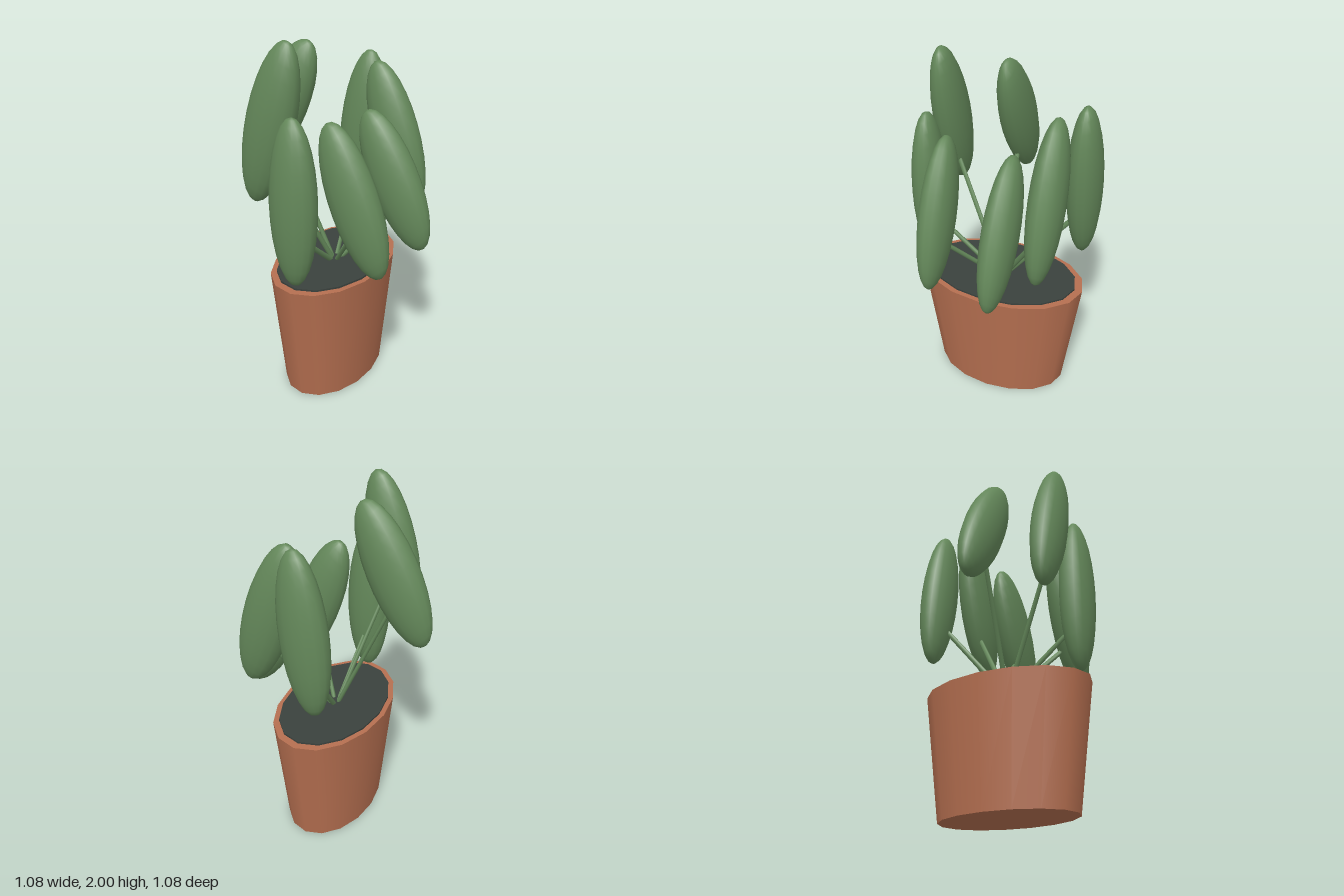
import * as THREE from 'three';

const SQUASH = 0.71; // leaves and stems are flattened along x
const CX = 0.005;

export function createModel() {
  const model = new THREE.Group();
  model.name = 'pottedPlant';
  const clay = new THREE.MeshStandardMaterial({ color: 0xb56f50 });
  const earth = new THREE.MeshStandardMaterial({ color: 0x3a413d });
  const green = new THREE.MeshStandardMaterial({ color: 0x64885a });

  const add = (parent, name, geometry, material) => {
    const mesh = new THREE.Mesh(geometry, material);
    mesh.name = name;
    parent.add(mesh);
    return mesh;
  };

  // Tapered oval pot
  const pot = add(model, 'pot', new THREE.CylinderGeometry(0.495, 0.4, 0.705, 16), clay);
  pot.scale.x = 0.626;
  pot.position.set(CX, 0.3525, 0);

  // Soil disc standing just proud of the rim
  const soil = add(model, 'soil', new THREE.CylinderGeometry(0.45, 0.45, 0.04, 16), earth);
  soil.scale.x = 0.626;
  soil.position.set(CX, 0.695, 0);

  // Leaf centres and lean about z
  const leaves = [
    [-0.05, 1.382, -0.448, -9.8],
    [0.222, 1.383, -0.337, 26.8],
    [0.315, 1.192, -0.122, 35.8],
    [-0.315, 1.57, 0.033, -37.7],
    [0.26, 1.192, 0.267, 30],
    [-0.167, 1.57, 0.372, -22.2],
    [0.005, 1.192, 0.445, 0],
  ];
  const foliage = new THREE.Group();
  foliage.name = 'foliage';
  foliage.position.x = CX;
  foliage.scale.x = SQUASH;
  model.add(foliage);

  const leafShape = new THREE.SphereGeometry(1, 16, 14);
  leafShape.scale(0.135 / SQUASH, 0.46, 0.094);
  const base = new THREE.Vector3(0, 0.67, 0);
  const up = new THREE.Vector3(0, 1, 0);

  for (const [x, y, z, lean] of leaves) {
    const px = (x - CX) / SQUASH;
    const leaf = add(foliage, 'leaf', leafShape, green);
    leaf.position.set(px, y, z);
    leaf.rotation.z = THREE.MathUtils.degToRad(lean);

    // Straight stem from the soil into the lower half of the leaf
    const tip = new THREE.Vector3(px, y - 0.17, z);
    const along = tip.clone().sub(base);
    const stem = add(foliage, 'stem', new THREE.CylinderGeometry(0.014, 0.016, along.length(), 8), green);
    stem.position.copy(base).add(tip).multiplyScalar(0.5);
    stem.quaternion.setFromUnitVectors(up, along.normalize());
  }
  return model;
}
